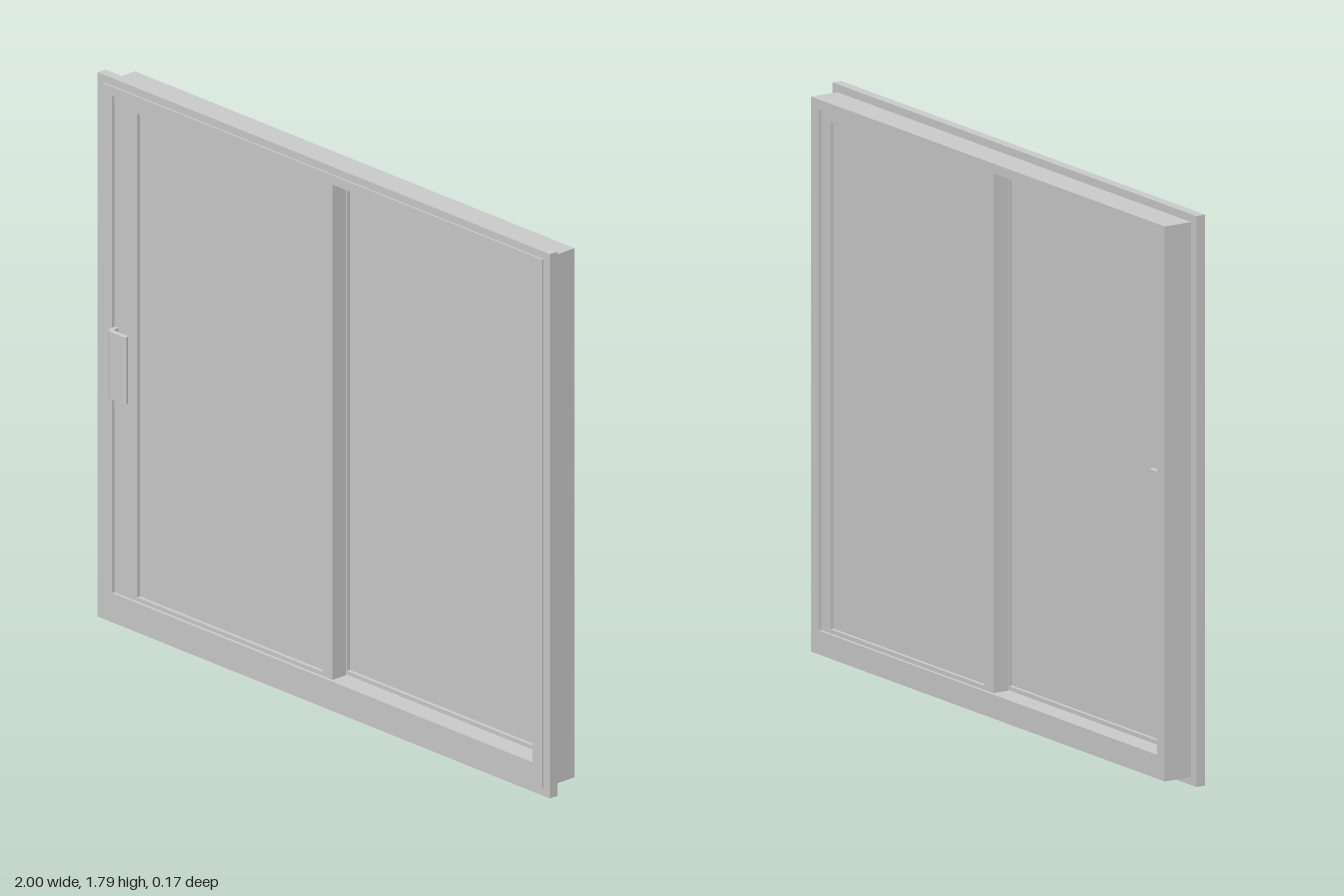
import * as THREE from 'three';

const material = new THREE.MeshStandardMaterial({ color: 0xcccccc, flatShading: true });

function trace(path, [x0, x1, y0, y1]) {
  path.moveTo(x0, y0);
  path.lineTo(x1, y0);
  path.lineTo(x1, y1);
  path.lineTo(x0, y1);
  path.closePath();
  return path;
}

// Rectangular ring between two rectangles, running from z0 to z1
function ring(name, outer, inner, z0, z1) {
  const shape = trace(new THREE.Shape(), outer);
  shape.holes.push(trace(new THREE.Path(), inner));
  const geometry = new THREE.ExtrudeGeometry(shape, { depth: z1 - z0, bevelEnabled: false });
  geometry.translate(0, 0, z0);
  const mesh = new THREE.Mesh(geometry, material);
  mesh.name = name;
  return mesh;
}

// Sash frame with a pane set back slightly from both faces
function sash(name, outer, inner, z0, z1) {
  const group = new THREE.Group();
  group.name = name;
  const [x0, x1, y0, y1] = inner;
  const pane = new THREE.Mesh(new THREE.BoxGeometry(x1 - x0, y1 - y0, z1 - z0 - 0.024), material);
  pane.position.set((x0 + x1) / 2, (y0 + y1) / 2, (z0 + z1) / 2);
  pane.name = name + 'Pane';
  group.add(ring(name + 'Frame', outer, inner, z0, z1), pane);
  return group;
}

// Hooked pull handle; side is 1 for the front face and -1 for the back face
function handle(name, faceZ, side) {
  const shape = new THREE.Shape();
  shape.moveTo(0, -0.004);
  shape.lineTo(0, 0.018);
  shape.quadraticCurveTo(0, 0.042, 0.026, 0.042);
  shape.lineTo(0.077, 0.042);
  shape.absarc(0.077, 0.033, 0.009, Math.PI / 2, -Math.PI / 2, true);
  shape.lineTo(0.03, 0.024);
  shape.quadraticCurveTo(0.014, 0.022, 0.014, 0.008);
  shape.lineTo(0.014, -0.004);
  shape.closePath();
  const height = 0.22;
  const geometry = new THREE.ExtrudeGeometry(shape, { depth: height, bevelEnabled: false, curveSegments: 8 });
  // Stand the extrusion upright, with the hook reaching away from the sash
  geometry.rotateX(side * Math.PI / 2);
  geometry.translate(-0.925, side > 0 ? 0.755 + height : 0.755, faceZ);
  const mesh = new THREE.Mesh(geometry, material);
  mesh.name = name;
  return mesh;
}

export function createModel() {
  const model = new THREE.Group();
  model.name = 'slidingWindow';
  const opening = [-0.93, 0.93, 0.1, 1.735];
  const body = [-0.972, 0.972, 0.025, 1.765];

  // Fixed frame and the flange around it
  model.add(ring('frameBody', body, opening, -0.085, 0.05));
  model.add(ring('frameFlange', [-1, 1, 0, 1.79], body, 0.012, 0.044));

  // Two overlapping sashes on separate tracks
  model.add(sash('slidingSash', [-0.93, 0.035, 0.1, 1.735], [-0.83, -0.01, 0.113, 1.703], -0.015, 0.04));
  model.add(sash('fixedSash', [-0.015, 0.93, 0.1, 1.735], [0.035, 0.88, 0.113, 1.703], -0.075, -0.02));

  // Pull handles on both faces of the sliding sash
  model.add(handle('frontHandle', 0.04, 1));
  model.add(handle('backHandle', -0.015, -1));
  return model;
}
